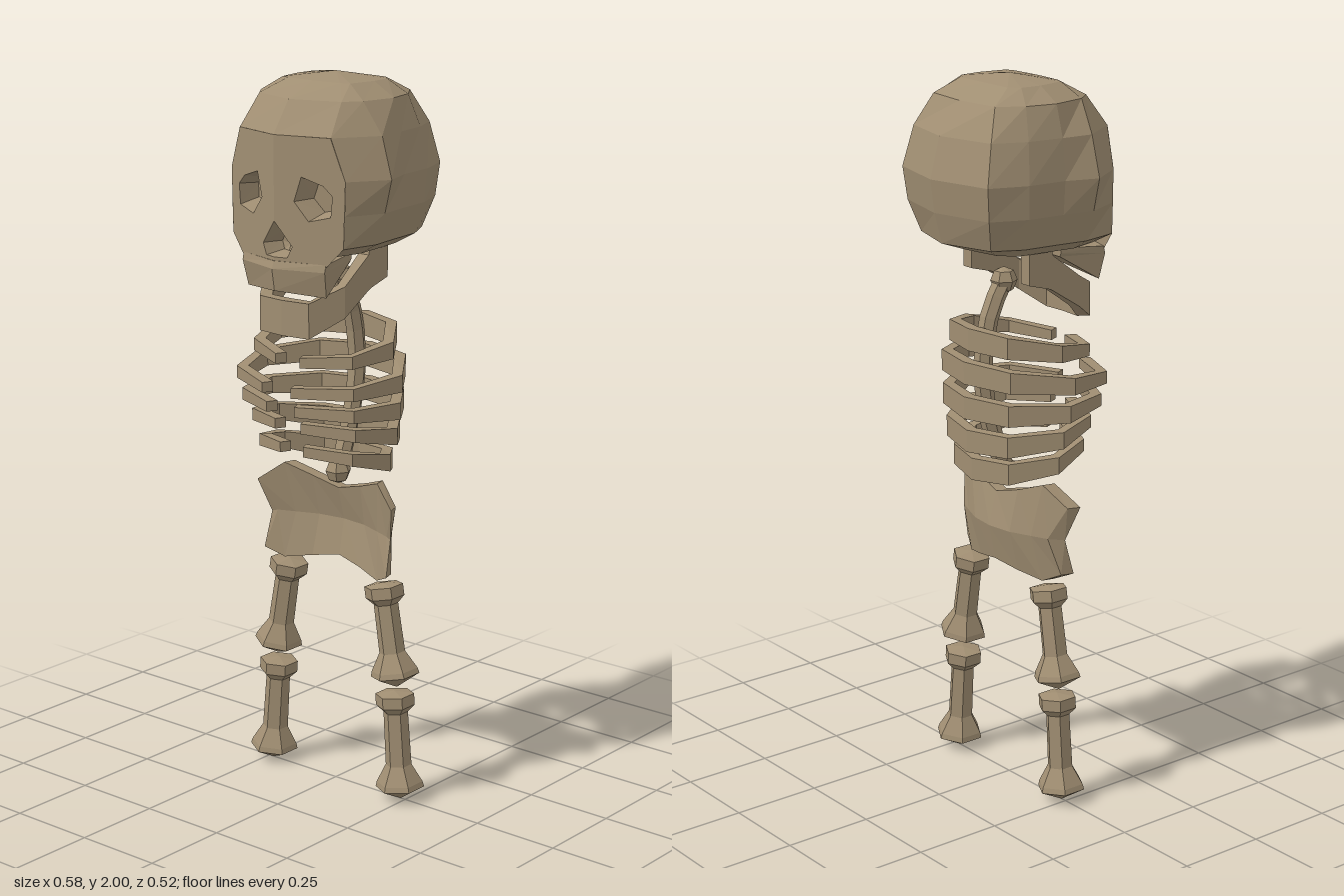
import * as THREE from 'three';

const bone = new THREE.MeshStandardMaterial({ color: 0xa08e72, flatShading: true, side: THREE.DoubleSide });
bone.name = 'bone';

function mesh(name, geometry) {
  const m = new THREE.Mesh(geometry, bone);
  m.name = name;
  return m;
}

// Joins closed loops of [x, y, z] points; skip(ring, edge) leaves openings
function loft(rings, { capStart = true, capEnd = true, skip = () => false } = {}) {
  const n = rings[0].length, pos = rings.flat(2), idx = [];
  for (let r = 0; r < rings.length - 1; r++) {
    for (let i = 0; i < n; i++) {
      if (skip(r, i)) continue;
      const a = r * n + i, b = r * n + (i + 1) % n;
      idx.push(a, b, b + n, a, b + n, a + n);
    }
  }
  const cap = (r, flip) => {
    const c = pos.length / 3;
    for (let k = 0; k < 3; k++) pos.push(rings[r].reduce((s, p) => s + p[k], 0) / n);
    for (let i = 0; i < n; i++) {
      const a = r * n + i, b = r * n + (i + 1) % n;
      idx.push(c, flip ? b : a, flip ? a : b);
    }
  };
  if (capStart) cap(0, true);
  if (capEnd) cap(rings.length - 1, false);
  // Turn the faces outward by the sign of the enclosed volume
  const v = i => new THREE.Vector3(pos[i * 3], pos[i * 3 + 1] - rings[0][0][1], pos[i * 3 + 2]);
  let volume = 0;
  for (let i = 0; i < idx.length; i += 3) volume += v(idx[i]).dot(v(idx[i + 1]).cross(v(idx[i + 2])));
  if (volume < 0) idx.reverse();
  const g = new THREE.BufferGeometry();
  g.setAttribute('position', new THREE.Float32BufferAttribute(pos, 3));
  g.setIndex(idx);
  const flat = g.toNonIndexed();
  flat.computeVertexNormals();
  return flat;
}

// Completes a half list (first point, and optionally the last, on x = 0)
function mirrored(half, closed) {
  const other = half.slice(1, closed ? -1 : undefined).reverse().map(([x, ...rest]) => [-x, ...rest]);
  return closed ? [...half, ...other] : [...other, ...half];
}

// Flat strip of bone along [x, z, top, bottom] points
function band(path, thick) {
  const rings = path.map(([x, z, top, bottom], i) => {
    const a = path[Math.max(i - 1, 0)], b = path[Math.min(i + 1, path.length - 1)];
    const len = Math.hypot(b[0] - a[0], b[1] - a[1]);
    const nx = (b[1] - a[1]) / len * thick, nz = -(b[0] - a[0]) / len * thick;
    return [[x, top, z], [x, bottom, z], [x - nx, bottom, z - nz], [x - nx, top, z - nz]];
  });
  return loft(rings);
}

const faceZ = x => 0.25 - 0.28 * Math.abs(x);

// Tapering recess behind an opening in the face
function socket(loop, depth) {
  const cx = loop.reduce((s, p) => s + p[0], 0) / loop.length;
  const cy = loop.reduce((s, p) => s + p[1], 0) / loop.length;
  const back = loop.map(([x, y]) => [cx + (x - cx) * 0.7, cy + (y - cy) * 0.7, faceZ(x) - depth]);
  return loft([loop.map(([x, y]) => [x, y, faceZ(x)]), back], { capStart: false });
}

function buildSkull() {
  const skull = new THREE.Group();
  skull.name = 'skull';

  // Cranium: y, then half outline [x, z] from back centre to front centre
  const levels = [
    [2.0, [0, 0], [0, 0], [0, 0], [0, 0], [0, 0], [0, 0], [0, 0]],
    [1.983, [0, -0.085], [0.1, -0.085], [0.125, -0.06], [0.13, 0], [0.115, 0.08], [0.09, 0.09], [0, 0.095]],
    [1.945, [0, -0.165], [0.13, -0.15], [0.175, -0.085], [0.195, 0], [0.175, 0.1], [0.14, 0.145], [0, 0.19]],
    [1.86, [0, -0.23], [0.165, -0.19], [0.205, -0.1], [0.22, 0], [0.23, 0.09], [0.155, 0.206], [0, 0.25]],
    [1.75, [0, -0.26], [0.183, -0.215], [0.222, -0.11], [0.232, 0], [0.262, 0.09], [0.195, 0.195], [0, 0.25]],
    [1.66, [0, -0.248], [0.175, -0.205], [0.216, -0.105], [0.226, 0], [0.24, 0.09], [0.193, 0.196], [0, 0.25]],
    [1.575, [0, -0.225], [0.15, -0.18], [0.19, -0.1], [0.2, 0], [0.212, 0.09], [0.19, 0.197], [0, 0.25]],
    [1.545, [0, -0.14], [0.1, -0.12], [0.14, -0.08], [0.15, 0], [0.16, 0.09], [0.14, 0.17], [0, 0.17]],
  ];
  const rings = levels.map(([y, ...half]) => mirrored(half.map(([x, z]) => [x, y, z]), true));
  skull.add(mesh('cranium', loft(rings, { capStart: false, skip: (r, i) => r >= 3 && (i === 5 || i === 6) })));

  // Face halves with eye openings and a nose notch
  const eye = [[0.16, 1.71], [0.135, 1.735], [0.075, 1.755], [0.055, 1.69], [0.095, 1.64], [0.155, 1.655]];
  const nose = [[0, 1.635], [0.05, 1.57], [0.035, 1.54], [0, 1.54]];
  const vec = p => new THREE.Vector2(...p);
  const outline = [...nose, [0, 1.52], [0.14, 1.52], [0.19, 1.575], [0.195, 1.75], [0.155, 1.86], [0, 1.86]];
  const shape = new THREE.Shape(outline.map(vec));
  shape.holes.push(new THREE.Path(eye.map(vec)));
  const face = new THREE.ShapeGeometry(shape);
  const p = face.attributes.position;
  for (let i = 0; i < p.count; i++) p.setZ(i, faceZ(p.getX(i)));
  face.computeVertexNormals();
  for (const [side, s] of [['left', 1], ['right', -1]]) {
    for (const m of [mesh(side + 'Face', face), mesh(side + 'EyeSocket', socket(eye, 0.06))]) {
      m.scale.x = s;
      skull.add(m);
    }
  }
  skull.add(mesh('noseCavity', socket(mirrored(nose, true), 0.06)));

  // Upper jaw, rising toward the back
  const upper = [[0, 1.53, 0.08], [0.12, 1.54, 0.08], [0.142, 1.53, 0.21], [0, 1.53, 0.252]];
  const middle = [[0, 1.52, 0.08], [0.12, 1.525, 0.08], [0.142, 1.51, 0.215], [0, 1.51, 0.26]];
  const lower = [[0, 1.515, 0.08], [0.115, 1.515, 0.08], [0.135, 1.44, 0.2], [0, 1.45, 0.25]];
  skull.add(mesh('upperJaw', loft([upper, middle, lower].map(r => mirrored(r, true)))));

  // Lower jaw with upright rear branches
  const jaw = [[0, 0.222, 1.42, 1.325], [0.085, 0.212, 1.42, 1.325], [0.14, 0.13, 1.46, 1.375],
    [0.142, 0.035, 1.53, 1.435], [0.142, 0.025, 1.57, 1.44], [0.142, -0.045, 1.565, 1.46]];
  skull.add(mesh('lowerJaw', band(mirrored(jaw, false), -0.035)));
  return skull;
}

function buildTorso() {
  const torso = new THREE.Group();
  torso.name = 'torso';

  // Spine with a knob at each end
  const curve = new THREE.CatmullRomCurve3([[1.45, -0.015], [1.36, -0.065], [1.2, -0.09], [1.05, -0.065], [0.9, -0.01]]
    .map(([y, z]) => new THREE.Vector3(0, y, z)));
  torso.add(mesh('spine', new THREE.TubeGeometry(curve, 10, 0.026, 6)));
  for (const [name, y, z] of [['neckKnob', 1.445, -0.018], ['spineBaseKnob', 0.905, -0.01]]) {
    const knob = mesh(name, new THREE.SphereGeometry(0.037, 6, 4));
    knob.position.set(0, y, z);
    torso.add(knob);
  }

  // Ribs: half width, front z, front y, back z, back y
  const ribs = [
    [0.21, 0.2, 1.252, -0.14, 1.3],
    [0.25, 0.245, 1.18, -0.155, 1.21],
    [0.24, 0.23, 1.125, -0.155, 1.113],
    [0.222, 0.2, 1.073, -0.147, 1.018],
    [0.2, 0.185, 1.005, -0.13, 0.935],
  ];
  const plan = [[0, 0], [0.6, 0.1], [1, 0.45], [0.82, 0.82], [0.2, 1]];
  ribs.forEach(([w, zf, yf, zb, yb], i) => {
    const half = plan.map(([u, t]) => {
      const y = yb + (yf - yb) * t, h = 0.031 - 0.017 * t;
      return [u * w, zb + (zf - zb) * t, y + h, y - h];
    });
    torso.add(mesh('rib' + (i + 1), band(mirrored(half, false), 0.032)));
  });

  // Pelvis: columns of [x, y, front z] at top, waist and bottom
  const columns = [
    [[0, 0.855, -0.01], [0, 0.76, -0.035], [0, 0.66, -0.015]],
    [[0.085, 0.877, 0], [0.08, 0.76, -0.025], [0.085, 0.645, 0]],
    [[0.165, 0.905, 0.025], [0.145, 0.76, 0], [0.165, 0.63, 0.025]],
    [[0.238, 0.85, 0.055], [0.195, 0.76, 0.02], [0.218, 0.655, 0.05]],
  ];
  const right = columns.slice(1).reverse().map(c => c.map(([x, y, z]) => [-x, y, z]));
  const sections = [...right, ...columns].map(c => [...c, ...[...c].reverse().map(([x, y, z]) => [x * 0.95, y, z - 0.035])]);
  torso.add(mesh('pelvis', loft(sections)));
  return torso;
}

// Leg bone standing between two points, pointed knob below
function legBone(name, top, bottom) {
  const a = new THREE.Vector3(...bottom, 0), dir = new THREE.Vector3(...top, 0).sub(a);
  const len = dir.length();
  const profile = [[0, 0], [0.068, 0.035], [0.064, 0.05], [0.036, 0.1], [0.034, len - 0.06],
    [0.054, len - 0.04], [0.054, len - 0.008], [0, len]].map(q => new THREE.Vector2(...q));
  const m = mesh(name, new THREE.LatheGeometry(profile, 6));
  m.position.copy(a);
  m.quaternion.setFromUnitVectors(new THREE.Vector3(0, 1, 0), dir.normalize());
  return m;
}

export function createModel() {
  const model = new THREE.Group();
  model.name = 'skeleton';
  model.add(buildSkull(), buildTorso());
  for (const [side, s] of [['left', 1], ['right', -1]]) {
    const leg = new THREE.Group();
    leg.name = side + 'Leg';
    leg.add(legBone('thighBone', [s * 0.168, 0.62], [s * 0.218, 0.328]));
    leg.add(legBone('shinBone', [s * 0.21, 0.315], [s * 0.234, 0.003]));
    model.add(leg);
  }
  return model;
}
